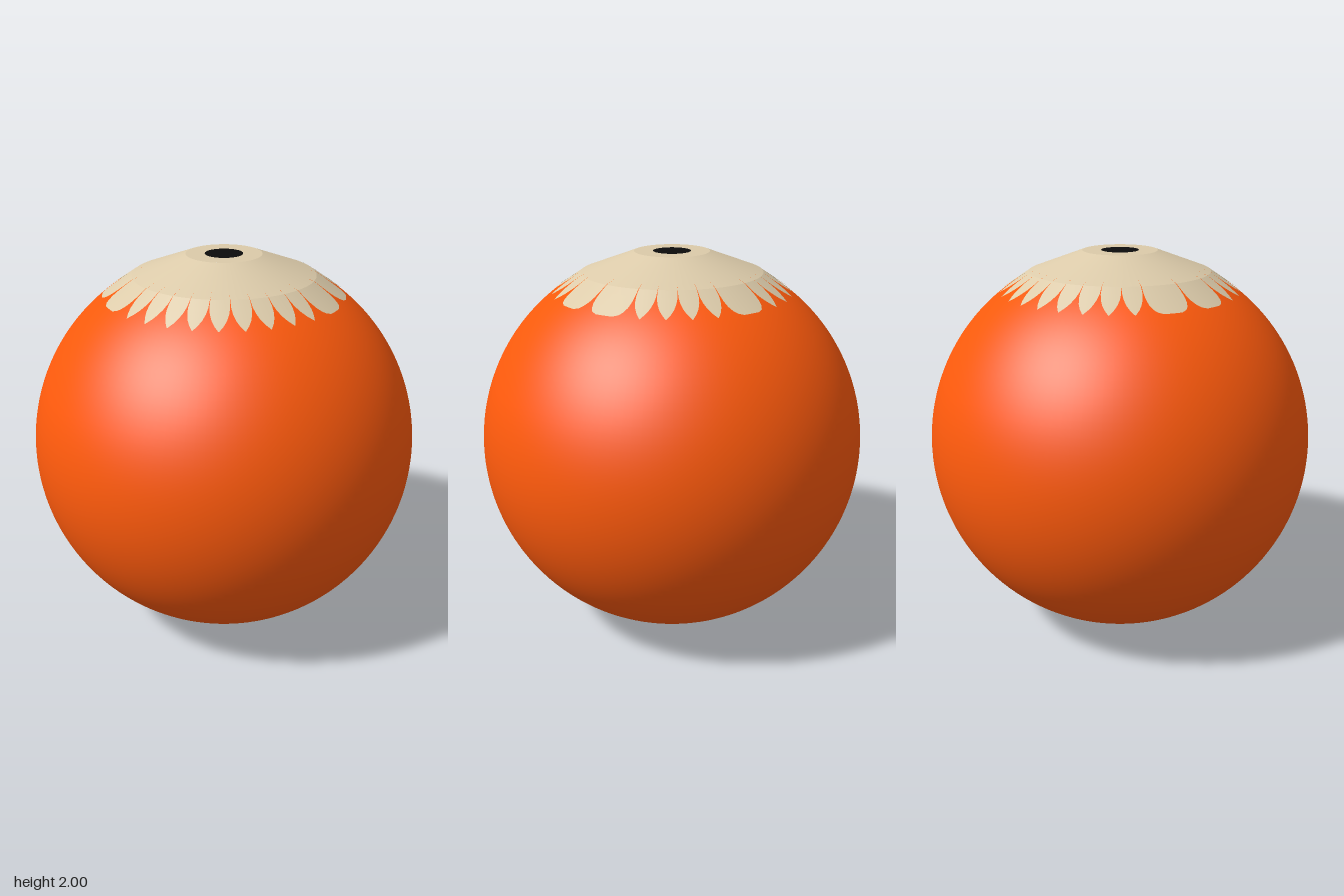
import * as THREE from 'three';

const PETALS = 32;
const STEP = (Math.PI * 2) / PETALS;
// first slot of each pair of petals that is joined into one wide petal
const JOINED = [4, 6, 17, 19, 30];

// rows are [radius, fraction of the petal's full width]
const BASE = [[0.4, 1], [0.43, 0.995], [0.46, 0.985]];
const POINTED = [[0.46, 0.985], [0.5, 0.95], [0.53, 0.83], [0.56, 0.62], [0.585, 0.36], [0.61, 0.02]];
const ROUNDED = [[0.46, 0.985], [0.5, 0.97], [0.53, 0.94], [0.56, 0.87], [0.585, 0.75], [0.6, 0.61], [0.61, 0.38]];

// height of the cap: two straight slopes with a bend at radius 0.46
const capHeight = (r) => (r < 0.46 ? 2 - ((r - 0.19) / 0.27) * 0.1 : 1.9 - ((r - 0.46) / 0.15) * 0.101);

// strip of cross-sections around the vertical axis, centred on an angle
function petalStrip(rows, angle, halfAngle, cols) {
  const pos = [], index = [];
  rows.forEach(([r, w], i) => {
    for (let j = 0; j <= cols; j++) {
      const a = angle + halfAngle * w * ((2 * j) / cols - 1);
      pos.push(r * Math.sin(a), capHeight(r), -r * Math.cos(a));
      if (i && j) {
        const d = i * (cols + 1) + j, c = d - 1, b = d - cols - 1, e = b - 1;
        index.push(e, b, c, b, d, c);
      }
    }
  });
  // keep the front face upward
  for (let k = 0; k < index.length; k += 3) {
    const [a, b, c] = [0, 1, 2].map((n) => new THREE.Vector3().fromArray(pos, index[k + n] * 3));
    if (b.sub(a).cross(c.sub(a)).y < 0) [index[k + 1], index[k + 2]] = [index[k + 2], index[k + 1]];
  }
  const g = new THREE.BufferGeometry();
  g.setAttribute('position', new THREE.Float32BufferAttribute(pos, 3));
  g.setIndex(index);
  g.computeVertexNormals();
  return g;
}

export function createModel() {
  const model = new THREE.Group();
  const orange = new THREE.MeshStandardMaterial({ color: 0xff5a0c });
  const cream = new THREE.MeshStandardMaterial({ color: 0xdccbaa, side: THREE.DoubleSide });
  const black = new THREE.MeshStandardMaterial({ color: 0x0c0c0c, side: THREE.DoubleSide });

  const add = (name, geometry, material, parent = model) => {
    const mesh = new THREE.Mesh(geometry, material);
    mesh.name = name;
    parent.add(mesh);
    return mesh;
  };

  // round body, left open beneath the cap
  add('body', new THREE.SphereGeometry(1, 128, 80, 0, Math.PI * 2, 0.2, Math.PI - 0.2), orange).position.y = 1;

  // flat collar with a dark disc in its middle
  const collar = add('collar', new THREE.RingGeometry(0.095, 0.19, 96), cream);
  const centre = add('centreDisc', new THREE.CircleGeometry(0.095, 96), black);
  for (const part of [collar, centre]) {
    part.rotation.x = -Math.PI / 2;
    part.position.y = 2;
  }

  // sloping cap
  const slope = [0.4, 0.33, 0.26, 0.19].map((r) => new THREE.Vector2(r, capHeight(r)));
  add('cap', new THREE.LatheGeometry(slope, 128), cream);

  // fringe of petals around the cap
  const fringe = new THREE.Group();
  fringe.name = 'petalFringe';
  model.add(fringe);
  for (let k = 0; k < PETALS; k++) {
    if (JOINED.includes(k - 1)) continue;
    const wide = JOINED.includes(k);
    const angle = (wide ? k + 0.5 : k) * STEP;
    const half = wide ? STEP : STEP / 2;
    const cols = wide ? 8 : 4;
    const petal = new THREE.Group();
    petal.name = wide ? 'widePetal' : 'petal';
    add('petalBase', petalStrip(BASE, angle, half, cols), cream, petal);
    add('petalTip', petalStrip(wide ? ROUNDED : POINTED, angle, half, cols), cream, petal);
    fringe.add(petal);
  }
  return model;
}
